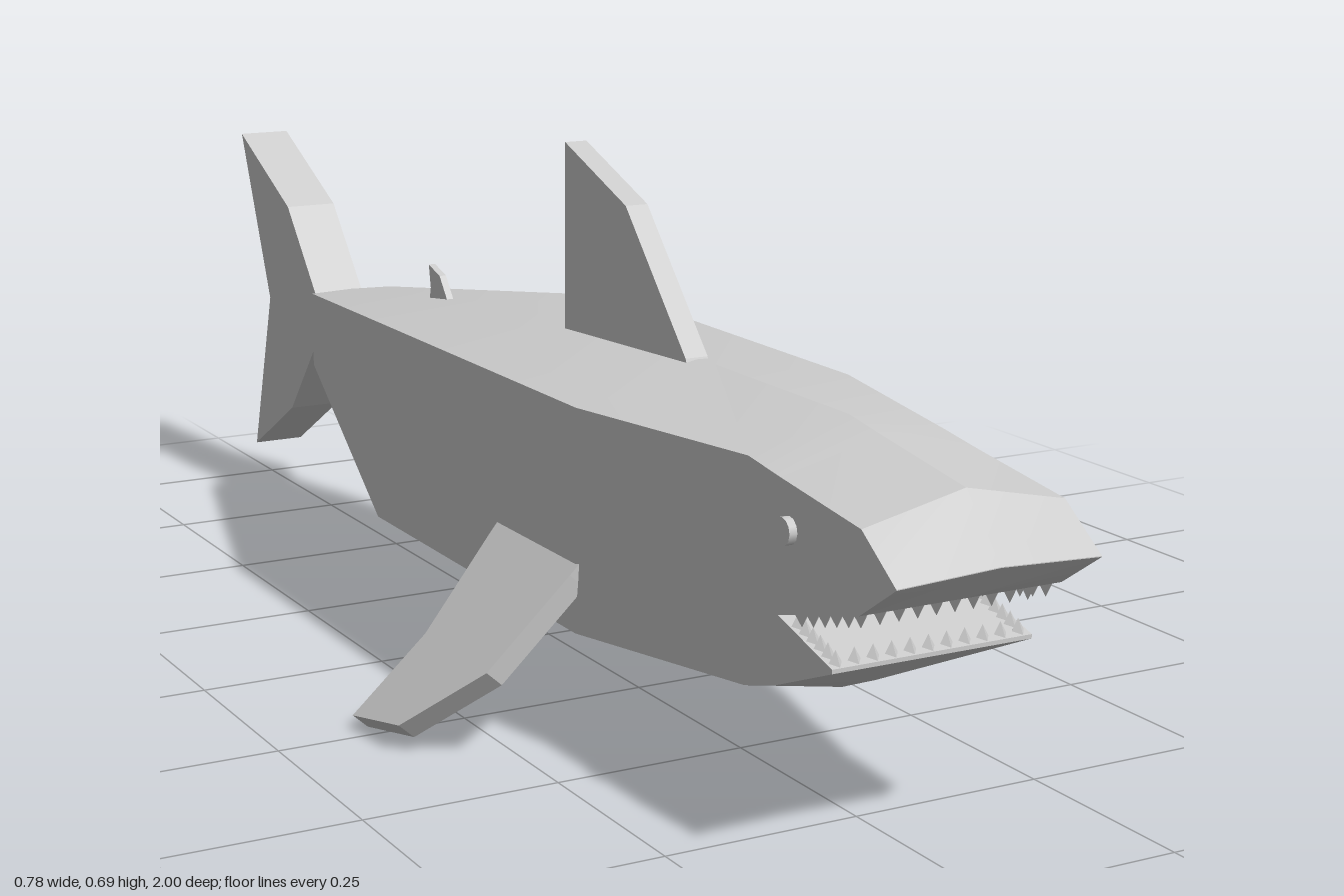
import * as THREE from 'three';
import { toCreasedNormals } from 'three/addons/utils/BufferGeometryUtils.js';

const material = new THREE.MeshStandardMaterial({ color: 0xcccccc });

function add(parent, name, geometry) {
  const mesh = new THREE.Mesh(geometry, material);
  mesh.name = name;
  parent.add(mesh);
  return mesh;
}

// Six-sided loft. Station: [z, half width, top ridge, top edge, bottom edge, bottom ridge], front to back.
function loft(stations, capFront, capBack) {
  const loops = stations.map(([z, w, ridge, top, low, keel]) =>
    [[0, ridge, z], [-w, top, z], [-w, low, z], [0, keel, z], [w, low, z], [w, top, z]]);
  const pos = [];
  const tri = (a, b, c) => pos.push(...a, ...b, ...c);
  for (let s = 0; s < loops.length - 1; s++) {
    for (let i = 0; i < 6; i++) {
      const j = (i + 1) % 6, f = loops[s], b = loops[s + 1];
      tri(f[i], b[i], f[j]);
      tri(f[j], b[i], b[j]);
    }
  }
  const first = loops[0], last = loops[loops.length - 1];
  for (let i = 1; i < 5; i++) {
    if (capFront) tri(first[0], first[i], first[i + 1]);
    if (capBack) tri(last[0], last[i + 1], last[i]);
  }
  const geometry = new THREE.BufferGeometry();
  geometry.setAttribute('position', new THREE.Float32BufferAttribute(pos, 3));
  return toCreasedNormals(geometry, 0.4);
}

// Flat slab drawn as [z, y] points, centred on x = 0
function finGeometry(points, thickness) {
  const shape = new THREE.Shape(points.map(([z, y]) => new THREE.Vector2(z, y)));
  return new THREE.ExtrudeGeometry(shape, { depth: thickness, bevelEnabled: false })
    .translate(0, 0, -thickness / 2)
    .rotateY(-Math.PI / 2);
}

// Teeth across the front of a jaw and back along both of its sides
function addTeeth(parent, name, front, back, direction) {
  const group = new THREE.Group();
  group.name = name;
  const height = 0.018;
  const cone = new THREE.ConeGeometry(0.0105, height, 4).toNonIndexed();
  cone.computeVertexNormals();
  const tooth = (x, y, z) => {
    const mesh = add(group, 'tooth', cone);
    mesh.position.set(x, y + direction * height * 0.4, z);
    if (direction < 0) mesh.rotation.x = Math.PI;
  };
  for (let i = 0; i < 11; i++) tooth(-0.119 + i * 0.0238, front[1], front[0]);
  for (let i = 1; i < 6; i++) {
    const t = i / 6;
    for (const side of [-1, 1]) {
      tooth(side * 0.119, THREE.MathUtils.lerp(front[1], back[1], t), THREE.MathUtils.lerp(front[0], back[0], t));
    }
  }
  parent.add(group);
}

export function createModel() {
  const model = new THREE.Group();
  model.name = 'shark';

  // Body and jaws
  add(model, 'body', loft([
    [0.78, 0.13, 0.455, 0.424, 0.19, 0.175],
    [0.715, 0.13, 0.465, 0.433, 0.17, 0.147],
    [0.43, 0.19, 0.465, 0.433, 0.157, 0.13],
    [-0.14, 0.19, 0.438, 0.433, 0.16, 0.157],
    [-0.655, 0.065, 0.372, 0.37, 0.259, 0.257],
    [-0.685, 0.04, 0.352, 0.35, 0.282, 0.28],
  ], false, true));
  add(model, 'upperJaw', loft([
    [1.0, 0.13, 0.364, 0.358, 0.357, 0.363],
    [0.935, 0.13, 0.433, 0.405, 0.312, 0.312],
    [0.78, 0.13, 0.455, 0.424, 0.27, 0.27],
  ], true, false));
  add(model, 'lowerJaw', loft([
    [0.888, 0.13, 0.24, 0.24, 0.235, 0.235],
    [0.78, 0.13, 0.27, 0.27, 0.19, 0.175],
  ], true, false));
  addTeeth(model, 'upperTeeth', [0.923, 0.31], [0.79, 0.273], -1);
  addTeeth(model, 'lowerTeeth', [0.877, 0.241], [0.79, 0.266], 1);

  // Fins on the centre line
  add(model, 'dorsalFin', finGeometry(
    [[0.4, 0.43], [0.385, 0.465], [0.235, 0.63], [0.075, 0.69], [0.075, 0.42]], 0.031));
  add(model, 'rearDorsalFin', finGeometry(
    [[-0.29, 0.40], [-0.327, 0.447], [-0.363, 0.458], [-0.357, 0.425], [-0.365, 0.39]], 0.01));
  add(model, 'pelvicFin', finGeometry(
    [[-0.13, 0.17], [-0.225, 0.107], [-0.3, 0.09], [-0.28, 0.2]], 0.01));
  add(model, 'analFin', finGeometry(
    [[-0.465, 0.235], [-0.5, 0.197], [-0.535, 0.187], [-0.53, 0.25]], 0.01));
  add(model, 'tailFin', finGeometry(
    [[-0.68, 0.33], [-0.81, 0.48], [-1, 0.573], [-0.893, 0.32],
      [-0.967, 0.063], [-0.81, 0.155], [-0.68, 0.31]], 0.078));

  // Swept side fins and eyes, mirrored
  const pectoral = finGeometry(
    [[0.44, 0.02], [0.435, -0.03], [0.415, -0.18], [0.325, -0.29],
      [0.222, -0.313], [0.245, -0.18], [0.225, -0.03], [0.22, 0.02]], 0.027);
  const eye = new THREE.CylinderGeometry(0.016, 0.016, 0.02, 12).rotateZ(Math.PI / 2);
  for (const side of [-1, 1]) {
    const label = side > 0 ? 'left' : 'right';
    const fin = add(model, label + 'PectoralFin', pectoral);
    fin.position.set(side * 0.17, 0.245, 0);
    fin.rotation.z = side * THREE.MathUtils.degToRad(42);
    add(model, label + 'Eye', eye).position.set(side * 0.13, 0.37, 0.8);
  }
  return model;
}
